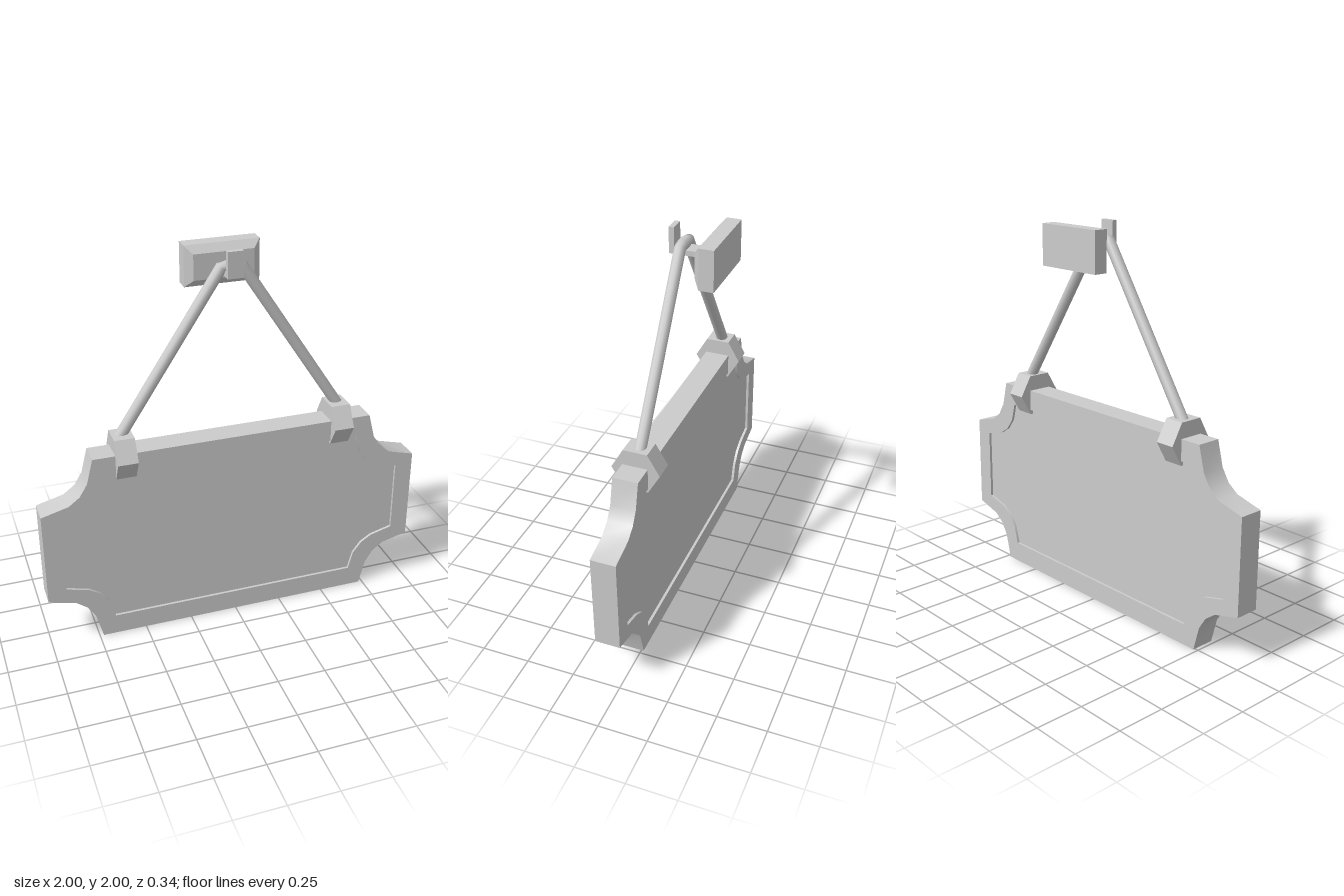
import * as THREE from 'three';
import { toCreasedNormals } from 'three/addons/utils/BufferGeometryUtils.js';

const material = new THREE.MeshStandardMaterial({ color: 0xcccccc });
const MID_Z = 0.052;   // centre plane of the board
const MID_Y = 0.524;   // centre height of the board

function addMesh(parent, name, geometry, x = 0, y = 0, z = 0) {
  const mesh = new THREE.Mesh(geometry, material);
  mesh.name = name;
  mesh.position.set(x, y, z);
  parent.add(mesh);
  return mesh;
}

// Mirrors one scooped corner (top to side) into a full closed outline
function plaqueOutline(corner) {
  const back = [...corner].reverse();
  return [
    ...back,
    ...corner.map(([x, y]) => [-x, y]),
    ...back.map(([x, y]) => [-x, -y]),
    ...corner.map(([x, y]) => [x, -y]),
  ].map(([x, y]) => new THREE.Vector2(x, y));
}

function extrudeCentred(shape, depth) {
  const geo = new THREE.ExtrudeGeometry(shape, { depth, bevelEnabled: false });
  geo.translate(0, 0, -depth / 2);
  return toCreasedNormals(geo, 0.6);
}

// Block whose front face is drawn in by a chamfer
function chamferedBlock(w, h, d, inset, chamfer) {
  const geo = new THREE.BoxGeometry(w, h, d, 1, 1, 2);
  const p = geo.attributes.position;
  for (let i = 0; i < p.count; i++) {
    if (Math.abs(p.getZ(i)) < 1e-6) p.setZ(i, d / 2 - chamfer);
    else if (p.getZ(i) > 0) {
      p.setX(i, p.getX(i) - Math.sign(p.getX(i)) * inset);
      p.setY(i, p.getY(i) - Math.sign(p.getY(i)) * inset);
    }
  }
  return toCreasedNormals(geo, 0.3);
}

export function createModel() {
  const model = new THREE.Group();
  model.name = 'hangingSign';

  // Board: raised border around a panel recessed on both faces
  const outer = plaqueOutline([[0.73, 0.524], [0.763, 0.395], [0.803, 0.33], [0.86, 0.287], [1, 0.25]]);
  const inner = plaqueOutline([[0.66, 0.415], [0.686, 0.318], [0.732, 0.258], [0.79, 0.222], [0.905, 0.192]]);
  const border = new THREE.Shape(outer);
  border.holes.push(new THREE.Path(inner));
  const board = new THREE.Group();
  board.name = 'board';
  board.position.set(0, MID_Y, MID_Z);
  model.add(board);
  addMesh(board, 'border', extrudeCentred(border, 0.128));
  addMesh(board, 'panel', extrudeCentred(new THREE.Shape(inner), 0.1));

  // Six-sided clips gripping the top edge
  const hexagon = new THREE.Shape(
    [[0.122, 0], [0.061, 0.106], [-0.061, 0.106], [-0.122, 0], [-0.061, -0.106], [0.061, -0.106]]
      .map(([z, y]) => new THREE.Vector2(z, y)));
  for (const side of [-1, 1]) {
    const clip = addMesh(model, side > 0 ? 'leftClip' : 'rightClip',
      extrudeCentred(hexagon, 0.102), side * 0.566, 1.022, MID_Z - 0.002);
    clip.rotation.y = Math.PI / 2;
  }

  // Hanging rod bent over the hook
  const bends = [[-0.575, 1.11], [-0.05, 1.912], [0.05, 1.912], [0.575, 1.11]]
    .map(([x, y]) => new THREE.Vector3(x, y, 0.042));
  const rodPath = new THREE.CurvePath();
  for (let i = 0; i < 3; i++) rodPath.add(new THREE.LineCurve3(bends[i], bends[i + 1]));
  addMesh(model, 'hangingRod', new THREE.TubeGeometry(rodPath, 80, 0.029, 10, false));

  // Wall bracket: chamfered plate, arm and upturned hook
  const bracket = new THREE.Group();
  bracket.name = 'wallBracket';
  model.add(bracket);
  addMesh(bracket, 'wallPlate', chamferedBlock(0.382, 0.206, 0.106, 0.038, 0.032), 0, 1.883, -0.12);
  addMesh(bracket, 'arm', new THREE.BoxGeometry(0.08, 0.026, 0.18), 0, 1.882, 0.013);
  addMesh(bracket, 'hookTip', new THREE.BoxGeometry(0.08, 0.131, 0.026), 0, 1.9345, 0.09);

  return model;
}
